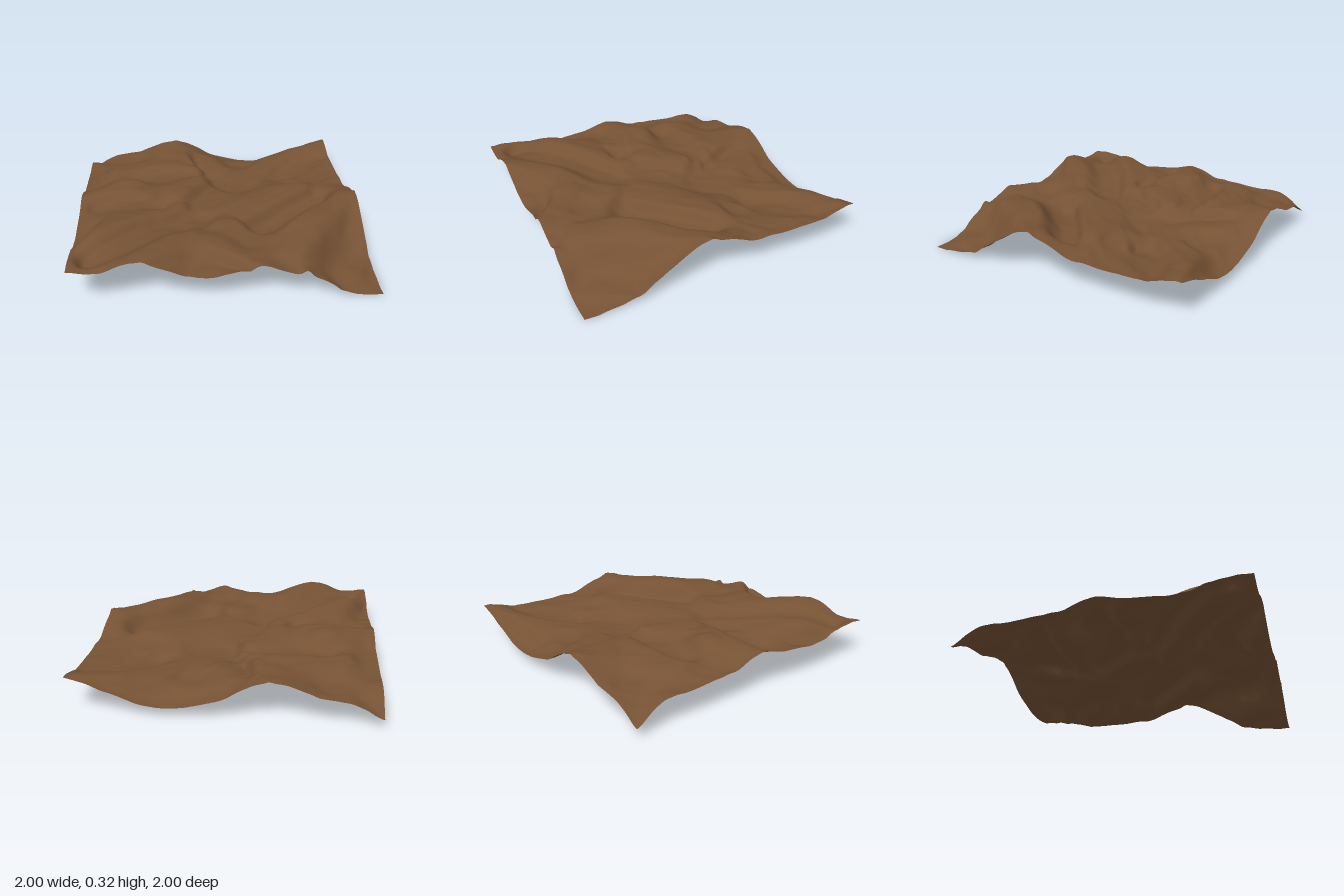
import * as THREE from 'three';

// Border heights, evenly spaced from -1 to 1
const FRONT = [.27, .245, .31, .26, .185, .205, .26, .19, .15, .03, .01];
const BACK = [.07, .165, .2, .27, .27, .16, .1, .08, .12, .19, .27];
const RIGHT = [.27, .225, .2, .2, .21, .28, .3, .2, .08, .02, .01];
const LEFT = [.07, .19, .19, .195, .22, .28, .23, .205, .215, .265, .265];

// Single knolls and hollows: [x, z, height]
const SPOTS = [[.25, -.75, .15], [.2, -.3, .17], [.6, -.3, .2], [.05, .45, .26], [.2, .65, .23],
  [-.7, -.85, .18], [-.65, -.14, .32], [.5, 1, .23]];

const lineCurve = (points) => new THREE.CatmullRomCurve3(points);
const sample = (curve) => curve.getSpacedPoints(Math.ceil(curve.getLength() / .03));

// Border curve; place(t, y) gives the point at position t
const border = (heights, place) => sample(lineCurve(heights.map((y, i) => place(i / 5 - 1, y))));

// A ridge crest and its foot, which lies lower and toward the front left
function ridge(drop, reach, crest) {
  const top = sample(lineCurve(crest.map(([x, z, y]) => new THREE.Vector3(x, y, z))));
  const offset = new THREE.Vector3(.6 * reach, -drop, .8 * reach);
  return [...top, ...top.map((p) => p.clone().add(offset))];
}

// Smooth value noise for the small ripples
function hash(i, j) {
  const s = Math.sin(i * 127.1 + j * 311.7) * 43758.5453;
  return s - Math.floor(s);
}
function noise(x, z) {
  const { lerp, smootherstep } = THREE.MathUtils;
  const i = Math.floor(x), j = Math.floor(z);
  const u = smootherstep(x - i, 0, 1), v = smootherstep(z - j, 0, 1);
  return lerp(lerp(hash(i, j), hash(i + 1, j), u), lerp(hash(i, j + 1), hash(i + 1, j + 1), u), v) - .5;
}
// Ripples run along the diagonal of the ridges
function ripple(x, z) {
  const along = x - z, across = x + z;
  return .016 * noise(along * 3 + 7, across * 6) + .008 * noise(along * 7, across * 13 + 3);
}

export function createModel() {
  const guides = [
    ...border(FRONT, (t, y) => new THREE.Vector3(t, y, 1)),
    ...border(BACK, (t, y) => new THREE.Vector3(t, y, -1)),
    ...border(RIGHT, (t, y) => new THREE.Vector3(1, y, t)),
    ...border(LEFT, (t, y) => new THREE.Vector3(-1, y, t)),
    // corner slope
    ...ridge(.23, .4, [[1, .12, .33], [.8, .28, .29], [.58, .5, .3], [.44, .82, .25]]),
    // middle ridge
    ...ridge(.085, .15, [[.65, -.12, .26], [.45, .04, .25], [.17, .27, .235]]),
    // back right ridge
    ...ridge(.05, .2, [[1, -.97, .27], [.5, -.74, .2], [.42, -.6, .19]]),
    // bowl rim and its outer side
    ...ridge(.045, .14, [[-.75, -.5, .25], [-.4, -.54, .27], [-.15, -.5, .27]]),
    ...ridge(.07, .17, [[-.12, -.3, .27], [-.3, 0, .28]]),
    // back ridge
    ...ridge(.1, .3, [[-.29, -1, .31], [-.3, -.85, .275], [-.1, -.5, .27]]),
    // left hill
    ...ridge(.06, .16, [[-1, 0, .28], [-.65, -.05, .31], [-.5, .03, .28]]),
    // long diagonal ridge
    ...ridge(.07, .17, [[-1, .72, .26], [-.82, .58, .32], [-.6, .37, .3], [-.25, .12, .25]]),
    // front spur
    ...ridge(.1, .25, [[-.54, 1, .33], [-.23, .68, .3], [.2, 1, .26]]),
  ].map((p) => ({ x: p.x, y: p.y, z: p.z, weight: 1 }));
  SPOTS.forEach(([x, z, y]) => guides.push({ x, y, z, weight: 4 }));

  // Height blended from the nearest guides
  const heightAt = (x, z) => {
    let sum = 0, total = 0;
    for (const g of guides) {
      const d2 = (x - g.x) ** 2 + (z - g.z) ** 2 + .0009;
      const w = g.weight / (d2 * d2);
      sum += w * g.y;
      total += w;
    }
    return sum / total + ripple(x, z);
  };

  const geometry = new THREE.PlaneGeometry(2, 2, 128, 128).rotateX(-Math.PI / 2);
  const pos = geometry.attributes.position;
  for (let i = 0; i < pos.count; i++) pos.setY(i, heightAt(pos.getX(i), pos.getZ(i)));
  geometry.computeBoundingBox();
  geometry.translate(0, -geometry.boundingBox.min.y, 0);
  geometry.computeVertexNormals();

  const soil = new THREE.MeshStandardMaterial({ color: 0x765234, side: THREE.DoubleSide });
  const terrain = new THREE.Mesh(geometry, soil);
  terrain.name = 'terrain';
  const group = new THREE.Group();
  group.name = 'terrainPatch';
  group.add(terrain);
  return group;
}
